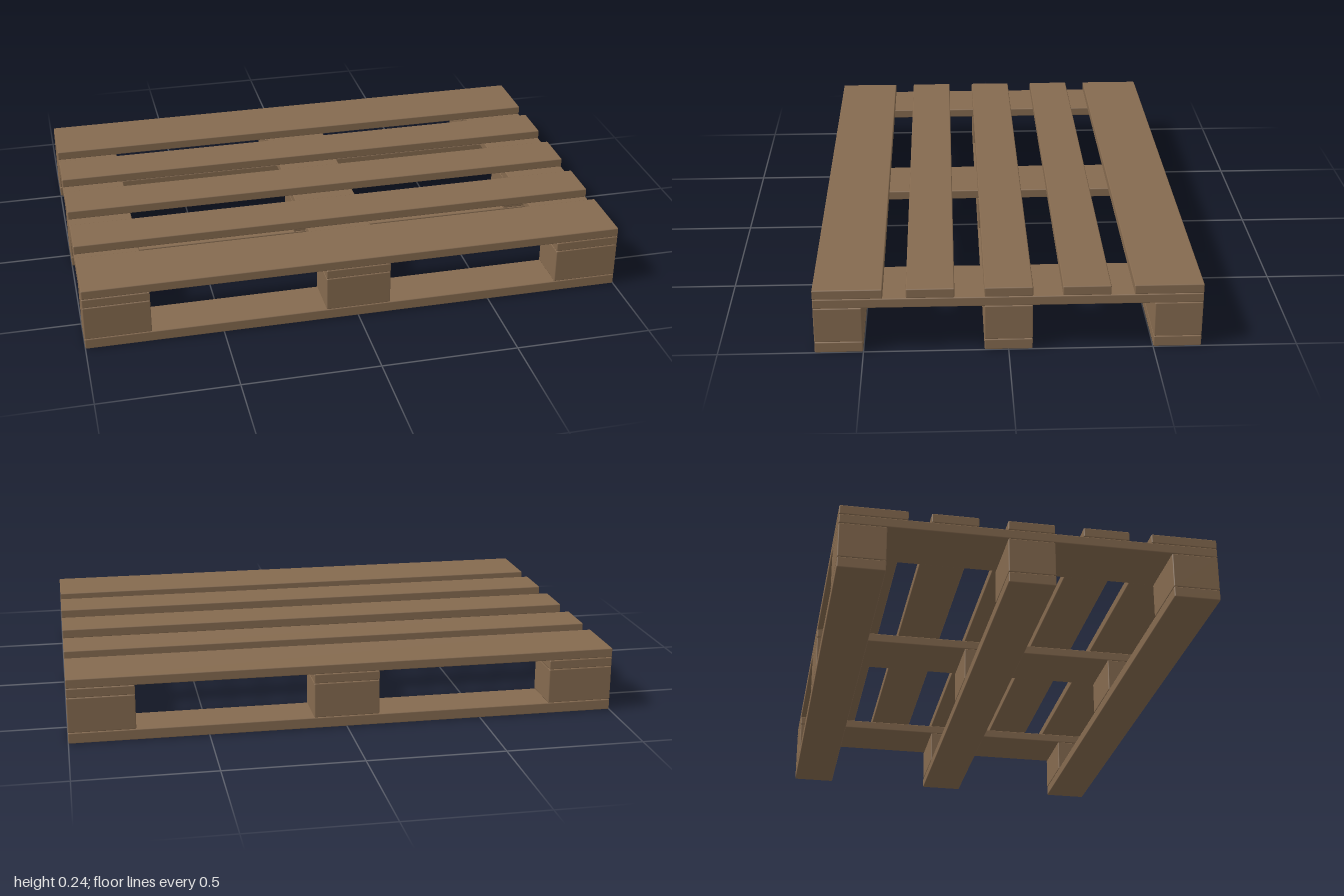
import * as THREE from 'three';
import { RoundedBoxGeometry } from 'three/addons/geometries/RoundedBoxGeometry.js';

const HALF_DEPTH = 0.667;

export function createModel() {
  const group = new THREE.Group();
  group.name = 'pallet';
  const wood = new THREE.MeshStandardMaterial({ color: 0x856a4f });
  wood.name = 'wood';

  // Plank or block with slightly eased edges, given by its bottom and top heights
  function plank(name, width, bottom, top, depth, x, z) {
    const geometry = new RoundedBoxGeometry(width, top - bottom, depth, 1, 0.004);
    const mesh = new THREE.Mesh(geometry, wood);
    mesh.name = name;
    mesh.position.set(x, (bottom + top) / 2, z);
    group.add(mesh);
  }

  const columns = [-0.88, 0, 0.88];
  const rows = [-0.584, 0, 0.584];

  // Bottom runners
  for (const z of rows) plank('bottomBoard', 2, 0, 0.04, 0.166, 0, z);

  // Nine spacer blocks
  for (const x of columns) {
    for (const z of rows) plank('block', 0.24, 0.04, 0.17, 0.166, x, z);
  }

  // Cross boards running front to back
  for (const x of columns) plank('crossBoard', 0.24, 0.17, 0.205, HALF_DEPTH * 2, x, 0);

  // Deck boards: wide at the edges, narrow between
  for (const side of [-1, 1]) {
    plank('edgeDeckBoard', 2, 0.205, 0.24, 0.238, 0, side * 0.548);
    plank('innerDeckBoard', 2, 0.205, 0.24, 0.165, 0, side * 0.267);
  }
  plank('centreDeckBoard', 2, 0.205, 0.24, 0.166, 0, 0);

  return group;
}
